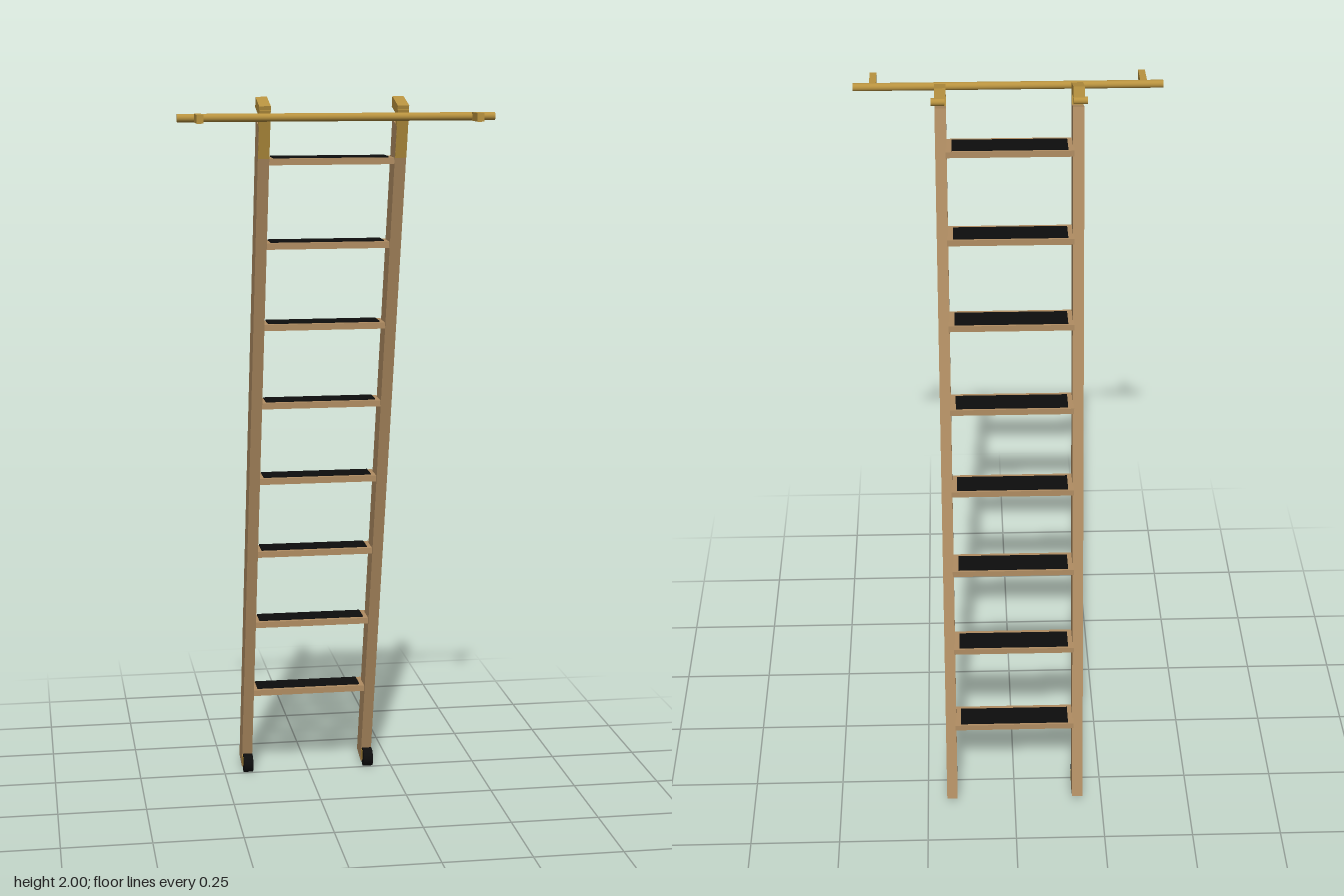
import * as THREE from 'three';

const material = (name, color) => {
  const m = new THREE.MeshStandardMaterial({ color });
  m.name = name;
  return m;
};

export function createModel() {
  const model = new THREE.Group();
  model.name = 'libraryLadder';
  const wood = material('wood', 0xb08d62);
  const brass = material('brass', 0xb8923f);
  const black = material('blackRubber', 0x0d0d0d);

  // box given by its minimum and maximum on each axis
  function box(name, parent, mat, [x0, x1], [y0, y1], [z0, z1]) {
    const mesh = new THREE.Mesh(new THREE.BoxGeometry(x1 - x0, y1 - y0, z1 - z0), mat);
    mesh.position.set((x0 + x1) / 2, (y0 + y1) / 2, (z0 + z1) / 2);
    mesh.name = name;
    parent.add(mesh);
  }

  // cylinder lying along x
  function rod(name, parent, mat, radius, [x0, x1], y, z) {
    const geo = new THREE.CylinderGeometry(radius, radius, x1 - x0, 24).rotateZ(Math.PI / 2);
    const mesh = new THREE.Mesh(geo, mat);
    mesh.position.set((x0 + x1) / 2, y, z);
    mesh.name = name;
    parent.add(mesh);
  }

  const tilt = THREE.MathUtils.degToRad(15);
  for (const s of [-1, 1]) {
    const side = s > 0 ? 'left' : 'right';
    const x = s * 0.18;
    const w = [-0.015, 0.015];

    // leaning side rail with its top hook, in the rail's own frame
    const rail = new THREE.Group();
    rail.name = side + 'SideRail';
    rail.position.set(x, 0.005, -0.291);
    rail.rotation.x = tilt;
    box('rail', rail, wood, w, [0, 1.985], [-0.065, 0]);
    box('hookTop', rail, brass, w, [2.012, 2.04], [-0.082, 0]);
    box('hookStem', rail, brass, w, [1.985, 2.012], [-0.02, 0]);
    box('hookPlate', rail, brass, [-0.0148, 0.0148], [1.9, 2.03], [0, 0.003]);
    model.add(rail);

    // hook pin, pointing outward
    rod(side + 'HookPin', model, brass, 0.01, s > 0 ? [0.168, 0.205] : [-0.205, -0.168], 1.945, 0.19);

    // floor wheel and its bracket
    rod(side + 'Wheel', model, black, 0.027, [x - 0.0135, x + 0.0135], 0.027, -0.262);
    const bracket = new THREE.Group();
    bracket.name = side + 'WheelBracket';
    bracket.position.set(x, 0.027, -0.262);
    bracket.rotation.x = tilt;
    box('bracket', bracket, brass, [-0.0148, 0.0148], [-0.016, 0.016], [-0.03, -0.003]);
    model.add(bracket);

    // wall bracket of the hanging bar
    box(side + 'BarBracket', model, brass, [s * 0.358 - 0.009, s * 0.358 + 0.009], [1.938, 1.96], [0.285, 0.355]);
  }

  // hanging bar
  rod('hangingBar', model, brass, 0.0105, [-0.41, 0.41], 1.949, 0.284);

  // level treads with thin grip mats
  for (let i = 0; i < 8; i++) {
    const y = 0.261 + i * 0.2255;
    const z = -0.315 + i * 0.0605;
    box('tread', model, wood, [-0.168, 0.168], [y - 0.017, y], [z, z + 0.084]);
    box('gripMat', model, black, [-0.152, 0.152], [y - 0.001, y + 0.003], [z + 0.006, z + 0.071]);
  }
  return model;
}
